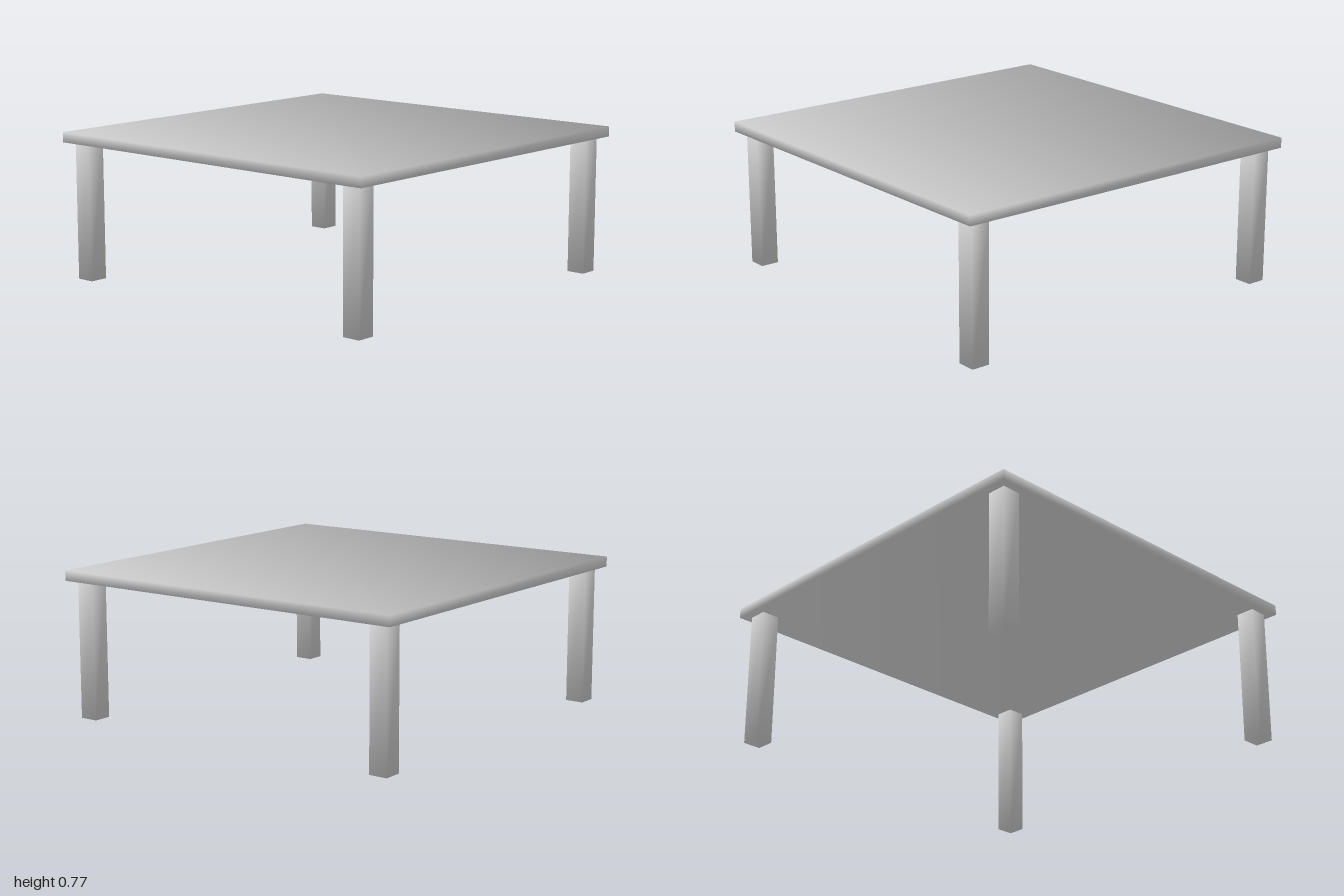
import * as THREE from 'three';

const material = new THREE.MeshStandardMaterial({ color: 0xcccccc });

// Box whose corner normals point diagonally outward, for soft shading across its faces
function softBox(name, width, height, depth) {
  const geometry = new THREE.BoxGeometry(width, height, depth);
  const { position, normal } = geometry.attributes;
  const n = new THREE.Vector3();
  for (let i = 0; i < position.count; i++) {
    n.set(Math.sign(position.getX(i)), Math.sign(position.getY(i)), Math.sign(position.getZ(i))).normalize();
    normal.setXYZ(i, n.x, n.y, n.z);
  }
  const mesh = new THREE.Mesh(geometry, material);
  mesh.name = name;
  return mesh;
}

export function createModel() {
  const table = new THREE.Group();
  table.name = 'table';

  const height = 0.77, topThickness = 0.053;
  const legHeight = height - topThickness;
  const legWidth = 0.098, legInset = 0.906;

  // Square tabletop
  const top = softBox('tabletop', 2, topThickness, 2);
  top.position.y = height - topThickness / 2;
  table.add(top);

  // One leg near each corner
  for (const [zName, z] of [['front', 1], ['back', -1]]) {
    for (const [xName, x] of [['Left', 1], ['Right', -1]]) {
      const leg = softBox(`${zName}${xName}Leg`, legWidth, legHeight, legWidth);
      leg.position.set(x * legInset, legHeight / 2, z * legInset);
      table.add(leg);
    }
  }
  return table;
}
